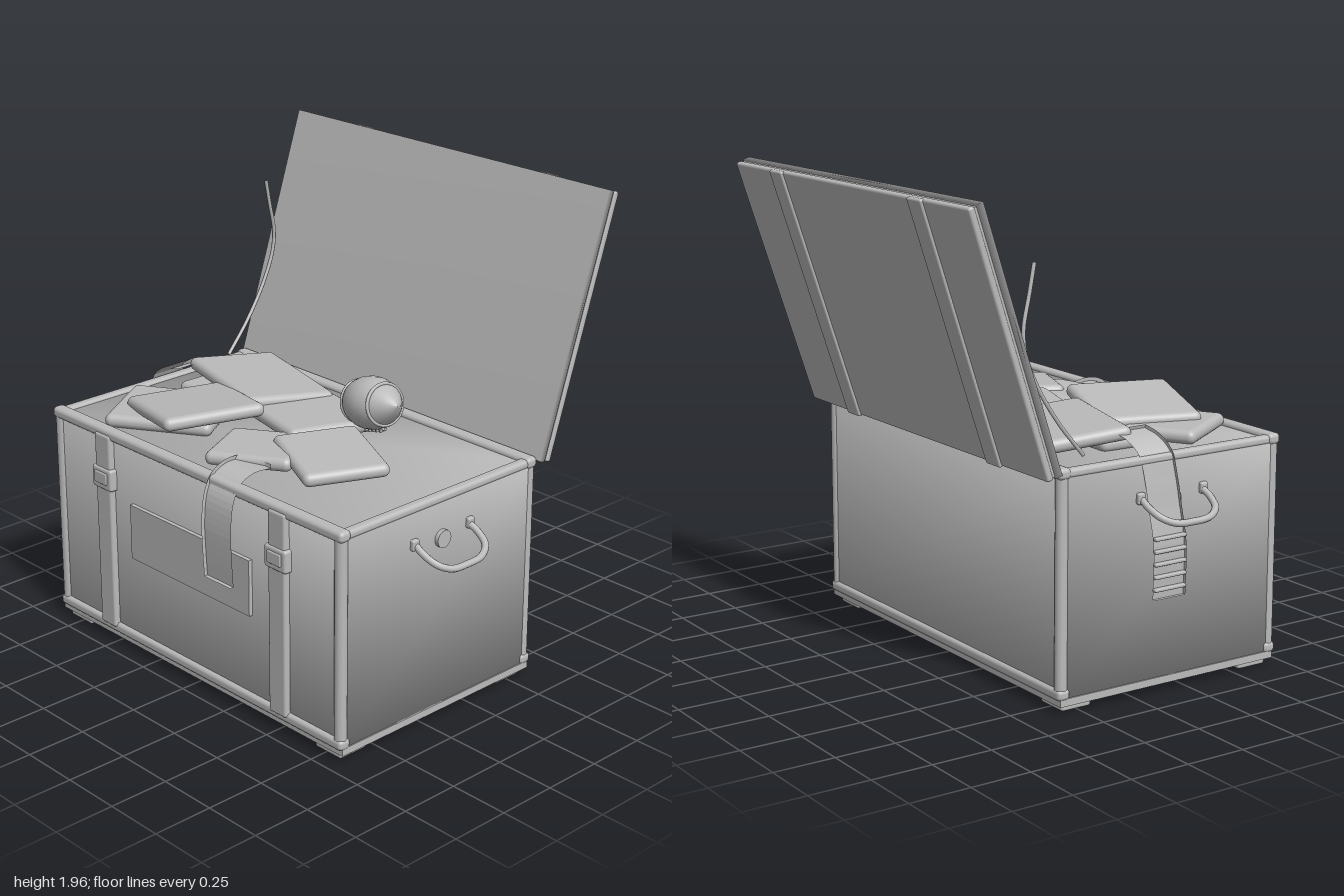
import * as THREE from 'three';
import { mergeVertices } from 'three/addons/utils/BufferGeometryUtils.js';
import { RoundedBoxGeometry } from 'three/addons/geometries/RoundedBoxGeometry.js';

const gray = new THREE.MeshStandardMaterial({ color: 0xbbbbbb });
gray.name = 'plain gray';

const V = (x, y, z) => new THREE.Vector3(x, y, z);

export function createModel() {
  const root = new THREE.Group();
  root.name = 'openTrunk';

  function add(name, geo, pos = [0, 0, 0], rot = [0, 0, 0], parent = root) {
    const m = new THREE.Mesh(geo, gray);
    m.name = name;
    m.position.set(...pos);
    m.rotation.set(...rot);
    parent.add(m);
    return m;
  }
  const rbox = (w, h, d, r) => new RoundedBoxGeometry(w, h, d, 2, r);

  // Box with normals shared across its edges, for softly graded panels
  function softBox(w, h, d) {
    const g = new THREE.BoxGeometry(w, h, d);
    g.deleteAttribute('normal');
    g.deleteAttribute('uv');
    const merged = mergeVertices(g);
    merged.computeVertexNormals();
    return merged;
  }

  // Thick band swept along a path; side(t) gives the half-width vector
  function ribbon(points, side, thickness) {
    const curve = new THREE.CatmullRomCurve3(points);
    const n = 24, pos = [], idx = [];
    for (let i = 0; i <= n; i++) {
      const p = curve.getPoint(i / n), t = curve.getTangent(i / n);
      const out = side.clone().cross(t).normalize().multiplyScalar(thickness / 2);
      const ring = [[1, 1], [-1, 1], [-1, -1], [1, -1]];
      for (const [s, o] of ring) {
        const q = p.clone().addScaledVector(side, s).addScaledVector(out, o);
        pos.push(q.x, q.y, q.z);
      }
      if (i < n) for (let k = 0; k < 4; k++) {
        const a = i * 4 + k, b = i * 4 + (k + 1) % 4;
        idx.push(a, b, b + 4, a, b + 4, a + 4);
      }
    }
    const e = n * 4;
    idx.push(0, 2, 1, 0, 3, 2, e, e + 1, e + 2, e, e + 2, e + 3);
    const g = new THREE.BufferGeometry();
    g.setAttribute('position', new THREE.Float32BufferAttribute(pos, 3));
    g.setIndex(idx);
    const flat = g.toNonIndexed();
    flat.computeVertexNormals();
    return flat;
  }

  // Chest body and base
  add('chestBody', softBox(1.7, 0.88, 1.026), [0, 0.49, 0.172]);
  add('basePlate', new THREE.BoxGeometry(1.71, 0.03, 1.03), [0, 0.045, 0.172]);

  // Edge rails, corner posts and feet
  for (const z of [0.674, -0.327]) {
    for (const y of [0.075, 0.927]) add('longRail', rbox(1.72, 0.046, 0.056, 0.018), [0, y, z]);
    for (const s of [-1, 1]) {
      add('cornerPost', new THREE.CylinderGeometry(0.025, 0.025, 0.83, 16), [s * 0.831, 0.5, z]);
      add('foot', rbox(0.14, 0.036, 0.135, 0.01), [s * 0.76, 0.018, z > 0 ? 0.605 : -0.252]);
    }
  }
  for (const s of [-1, 1]) {
    add('sideRail', rbox(0.045, 0.036, 0.98, 0.015), [s * 0.831, 0.925, 0.172]);
  }

  // Front straps with buckles
  for (const x of [-0.523, 0.517]) {
    add('frontStrap', rbox(0.096, 0.85, 0.05, 0.012), [x, 0.503, 0.685]);
    add('buckle', rbox(0.12, 0.095, 0.05, 0.012), [x, 0.738, 0.693]);
    add('buckleTongue', rbox(0.075, 0.05, 0.012, 0.004), [x, 0.742, 0.719]);
  }
  add('frontPlate', new THREE.BoxGeometry(0.715, 0.235, 0.02), [-0.003, 0.552, 0.692]);

  // Side handles with a round stud behind each
  for (const s of [-1, 1]) {
    const path = new THREE.CatmullRomCurve3([
      [0.85, 0.785, 0.315], [0.9, 0.76, 0.318], [0.955, 0.73, 0.3], [0.982, 0.708, 0.25],
      [0.986, 0.703, 0.17],
      [0.982, 0.708, 0.09], [0.955, 0.73, 0.04], [0.9, 0.76, 0.022], [0.85, 0.785, 0.025],
    ].map(([x, y, z]) => V(s * x, y, z)));
    add('handle', new THREE.TubeGeometry(path, 40, 0.014, 10), [0, 0, 0]);
    add('handleStud', new THREE.CylinderGeometry(0.036, 0.036, 0.03, 20),
      [s * 0.852, 0.765, 0.17], [0, 0, Math.PI / 2]);
    for (const z of [0.02, 0.32]) {
      add('handleMount', rbox(0.025, 0.045, 0.035, 0.008), [s * 0.855, 0.785, z]);
    }
  }

  // Lid leaning back on its hinge line
  const lid = new THREE.Group();
  lid.name = 'lid';
  lid.position.set(0, 0.92, -0.385);
  lid.rotation.x = -0.322;
  root.add(lid);
  add('lidInnerPanel', softBox(1.744, 1.08, 0.028), [0, 0.54, 0.02], [0, 0, 0], lid);
  add('lidCore', new THREE.BoxGeometry(1.73, 1.066, 0.03), [0, 0.54, 0], [0, 0, 0], lid);
  add('lidOuterPanel', rbox(1.744, 1.08, 0.028, 0.01), [0, 0.54, -0.018], [0, 0, 0], lid);
  for (const x of [-0.523, 0.517]) {
    add('lidStrap', rbox(0.096, 1.085, 0.022, 0.008), [x, 0.54, -0.032], [0, 0, 0], lid);
  }

  // Bent lid stay
  const stay = new THREE.CatmullRomCurve3([
    V(-0.785, 1.71, -0.42), V(-0.788, 1.6, -0.443), V(-0.796, 1.47, -0.474),
    V(-0.798, 1.38, -0.466), V(-0.796, 1.25, -0.41), V(-0.792, 1.1, -0.31), V(-0.79, 0.97, -0.2),
  ]);
  add('lidStay', new THREE.TubeGeometry(stay, 30, 0.008, 8));

  // Cushions: width, depth, x, y, z, turn, tilt about x, tilt about z (degrees)
  const cushions = [
    [0.57, 0.40, -0.42, 0.99, -0.055, 15, -6, 0],
    [0.59, 0.40, -0.10, 0.965, 0.01, 15, -3, 2],
    [0.45, 0.43, -0.34, 1.01, 0.37, 18, 0, 7],
    [0.45, 0.38, -0.48, 0.955, 0.38, -32, 0, 0],
    [0.42, 0.20, -0.46, 0.95, 0.09, 2, 0, 0],
    [0.40, 0.35, 0.35, 0.975, 0.27, 24, 0, -3],
    [0.36, 0.30, 0.09, 0.96, 0.40, -26, 0, 3],
  ];
  const rad = Math.PI / 180;
  for (const [w, d, x, y, z, turn, tx, tz] of cushions) {
    const c = add('cushion', new RoundedBoxGeometry(w, 0.056, d, 4, 0.027), [x, y, z]);
    c.rotation.set(tx * rad, -turn * rad, tz * rad, 'YXZ');
  }

  // Pointed ball with two rings and a row of laces
  const ball = new THREE.Group();
  ball.name = 'ball';
  ball.position.set(0.42, 1.175, 0.12);
  ball.quaternion.setFromUnitVectors(V(0, 1, 0), V(0.335, 0.08, 0.06).normalize());
  root.add(ball);
  const half = [[0.104, 0], [0.101, 0.035], [0.09, 0.07], [0.074, 0.1], [0.05, 0.132], [0.024, 0.16], [0, 0.176]];
  const profile = [...half.slice(1).reverse().map(([r, y]) => [r, -y]), ...half];
  add('ballSkin', new THREE.LatheGeometry(profile.map(([r, y]) => new THREE.Vector2(r, y)), 28),
    [0, 0, 0], [0, 0, 0], ball);
  for (const s of [-1, 1]) {
    add('ballRing', new THREE.TorusGeometry(0.081, 0.007, 8, 28), [0, s * 0.09, 0], [Math.PI / 2, 0, 0], ball);
  }
  add('laceSeam', rbox(0.1, 0.012, 0.012, 0.004), [0.435, 1.071, 0.115], [0, 0, 0.22]);
  for (let i = -2; i <= 2; i++) {
    add('lace', rbox(0.008, 0.014, 0.036, 0.003), [0.435 + i * 0.02, 1.067 + i * 0.0045, 0.115]);
  }

  // Loose band draped over the front edge
  add('frontBand', ribbon([
    V(0.185, 0.97, 0.5), V(0.195, 0.98, 0.6), V(0.206, 0.955, 0.68), V(0.217, 0.89, 0.728),
    V(0.223, 0.78, 0.748), V(0.226, 0.66, 0.748), V(0.226, 0.55, 0.742),
  ], V(0.076, 0, 0), 0.016));

  // Loose band draped over the right edge, with loops near its end
  add('sideBand', ribbon([
    V(-0.71, 1.02, 0.075), V(-0.78, 1.0, 0.085), V(-0.845, 0.95, 0.095), V(-0.868, 0.86, 0.105),
    V(-0.885, 0.74, 0.115), V(-0.904, 0.6, 0.125), V(-0.896, 0.39, 0.13),
  ], V(0, 0, 0.073), 0.014));
  for (let i = 0; i < 5; i++) {
    add('bandLoop', rbox(0.022, 0.014, 0.15, 0.005), [-0.902, 0.43 + i * 0.05, 0.127]);
  }

  return root;
}
